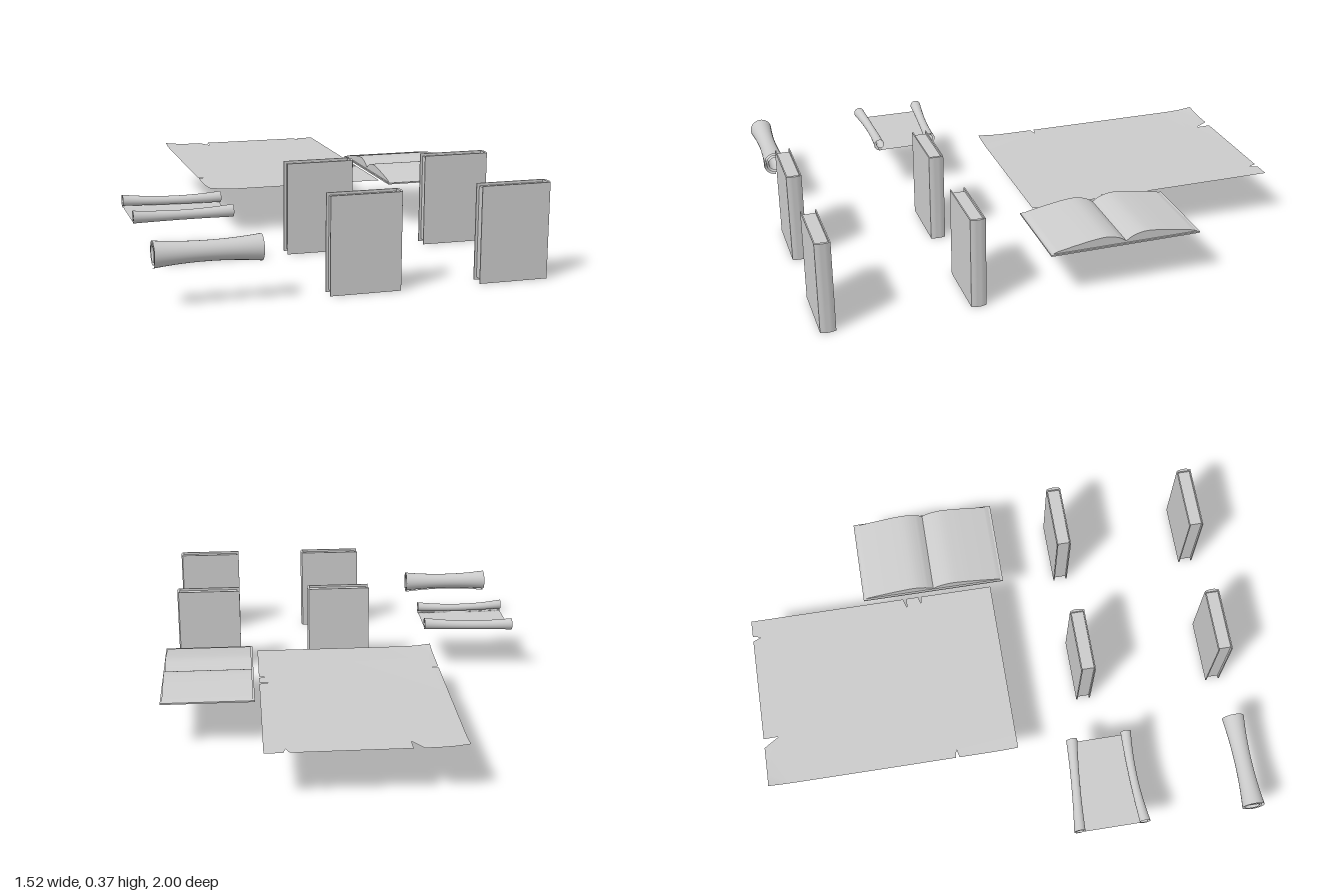
import * as THREE from 'three';
import { toCreasedNormals } from 'three/addons/utils/BufferGeometryUtils.js';
import { ParametricGeometry } from 'three/addons/geometries/ParametricGeometry.js';

const solid = new THREE.MeshStandardMaterial({ color: 0xcccccc });
const paper = new THREE.MeshStandardMaterial({ color: 0xcccccc, side: THREE.DoubleSide });

function mesh(name, geometry, material = solid) {
  const m = new THREE.Mesh(geometry, material);
  m.name = name;
  return m;
}

// Prism from a 2D outline, with soft curves and sharp corners
function prism(shape, depth) {
  const g = new THREE.ExtrudeGeometry(shape, { depth, bevelEnabled: false, curveSegments: 8 });
  return toCreasedNormals(g, 0.6);
}

// Standing book: wrapped cover with a rounded spine on +x, recessed page block
function closedBook(x, z) {
  const book = new THREE.Group();
  book.name = 'closedBook';
  const w = 0.137, d = 0.03, t = 0.005, h = 0.367;
  const outline = new THREE.Shape();
  outline.moveTo(-w, -d);
  outline.lineTo(w - 0.006, -d);
  outline.quadraticCurveTo(w + 0.007, 0, w - 0.006, d);
  outline.lineTo(-w, d);
  outline.lineTo(-w, d - t);
  outline.lineTo(w - t - 0.006, d - t);
  outline.lineTo(w - t - 0.006, t - d);
  outline.lineTo(-w, t - d);
  outline.closePath();
  book.add(mesh('cover', prism(outline, h).rotateX(-Math.PI / 2)));
  const pages = mesh('pages', new THREE.BoxGeometry(0.254, h - 0.02, 2 * (d - t)));
  pages.position.set(0, h / 2, 0);
  book.add(pages);
  book.position.set(x, 0, z);
  return book;
}

// Open book: thin cover under two arched stacks of pages
function openBook() {
  const book = new THREE.Group();
  book.name = 'openBook';
  const along = (shape, width) => prism(shape, width).rotateY(-Math.PI / 2).translate(width / 2, 0, 0);

  const cover = new THREE.Shape();
  cover.moveTo(-0.305, 0);
  cover.lineTo(0.305, 0);
  cover.lineTo(0.305, 0.006);
  cover.lineTo(-0.305, 0.006);
  cover.closePath();
  book.add(mesh('cover', along(cover, 0.366)));

  for (const s of [1, -1]) {
    const stack = new THREE.Shape();
    stack.moveTo(0, 0.006);
    stack.lineTo(0, 0.013);
    stack.splineThru([[0.03, 0.031], [0.075, 0.042], [0.13, 0.039], [0.2, 0.028], [0.28, 0.013]]
      .map(([z, y]) => new THREE.Vector2(s * z, y)));
    stack.lineTo(s * 0.296, 0.006);
    stack.closePath();
    book.add(mesh(s > 0 ? 'frontPages' : 'backPages', along(stack, 0.352)));
  }
  book.position.set(0.574, 0.189, -0.205);
  return book;
}

// Large flat sheet with torn nicks and lifted corners on one side
function parchment() {
  const outline = [
    [-0.37, 0.04], [0.37, 0.04], [0.37, -0.262], [0.338, -0.268], [0.37, -0.276],
    [0.37, -0.327], [0.33, -0.33], [0.37, -0.342], [0.37, -1], [0.3, -1],
    [0.291, -0.967], [0.277, -1], [-0.164, -1], [-0.163, -0.937], [-0.203, -1],
    [-0.37, -1], [-0.37, -0.222], [-0.335, -0.214], [-0.37, -0.206],
  ];
  // Interior lattice lines are made by splitting long edges and curling the corners
  const pts = [];
  outline.forEach(([x, z], i) => {
    const [x2, z2] = outline[(i + 1) % outline.length];
    const n = Math.max(1, Math.round(Math.hypot(x2 - x, z2 - z) / 0.05));
    for (let k = 0; k < n; k++) {
      pts.push(new THREE.Vector2(x + (x2 - x) * k / n, -(z + (z2 - z) * k / n)));
    }
  });
  const g = new THREE.ShapeGeometry(new THREE.Shape(pts)).rotateX(-Math.PI / 2);
  const p = g.attributes.position;
  for (let i = 0; i < p.count; i++) {
    const x = p.getX(i), z = p.getZ(i);
    const back = Math.max(0, 1 - Math.hypot(x + 0.37, z + 1) / 0.12);
    const front = Math.max(0, 1 - Math.hypot(x + 0.37, z - 0.04) / 0.12);
    p.setY(i, 0.196 + 0.009 * (back ** 2 + front ** 2));
  }
  g.computeVertexNormals();
  return mesh('parchment', g, paper);
}

// Point on a spiral that starts at the bottom and winds inward towards dir
function spiral(t, r, turns, shrink, dir) {
  const a = t * turns * Math.PI * 2, q = r * (1 - shrink * t);
  return [dir * Math.sin(a) * q, -Math.cos(a) * q];
}

// Rolled scroll: one spiral, flared at both ends
function rolledScroll() {
  const g = new ParametricGeometry((u, v, out) => {
    const e = (2 * u - 1) ** 2;
    const [z, y] = spiral(v, 0.039 + 0.012 * e, 2.6, 0.5, 1);
    out.set(-0.573 + (u - 0.5) * 0.386, 0.197 + y, 0.947 + z);
  }, 16, 72);
  return mesh('rolledScroll', g, paper);
}

// Open scroll: a sheet with a curl along its front and its back edge
function openScroll() {
  const g = new ParametricGeometry((u, v, out) => {
    const e = (2 * u - 1) ** 2;
    const r = 0.021 + 0.006 * e;
    const base = 0.193;
    const zFront = 0.483 + 0.008 * e - 0.006 * (u - 0.5);
    const zBack = 0.247 + 0.036 * (u - 0.5);
    let y = base, z;
    if (v < 0.4 || v > 0.6) {
      const dir = v < 0.4 ? -1 : 1;
      const t = dir < 0 ? (0.4 - v) / 0.4 : (v - 0.6) / 0.4;
      const [dz, dy] = spiral(t, r, dir < 0 ? 1.8 : 1.35, 0.5, dir);
      z = (dir < 0 ? zBack : zFront) + dz;
      y = base + r + dy;
    } else {
      z = THREE.MathUtils.lerp(zBack, zFront, (v - 0.4) / 0.2);
    }
    // Side edges pull in slightly between the curls
    const pull = v > 0.4 && v < 0.6 ? 0.985 : 1;
    out.set(-0.57 + (u - 0.5) * 0.386 * pull, y, z);
  }, 16, 90);
  return mesh('openScroll', g, paper);
}

export function createModel() {
  const model = new THREE.Group();
  model.name = 'booksAndScrolls';
  for (const x of [0.001, 0.576]) {
    for (const z of [0.37, 0.945]) model.add(closedBook(x, z));
  }
  model.add(openBook(), parchment(), rolledScroll(), openScroll());
  return model;
}
